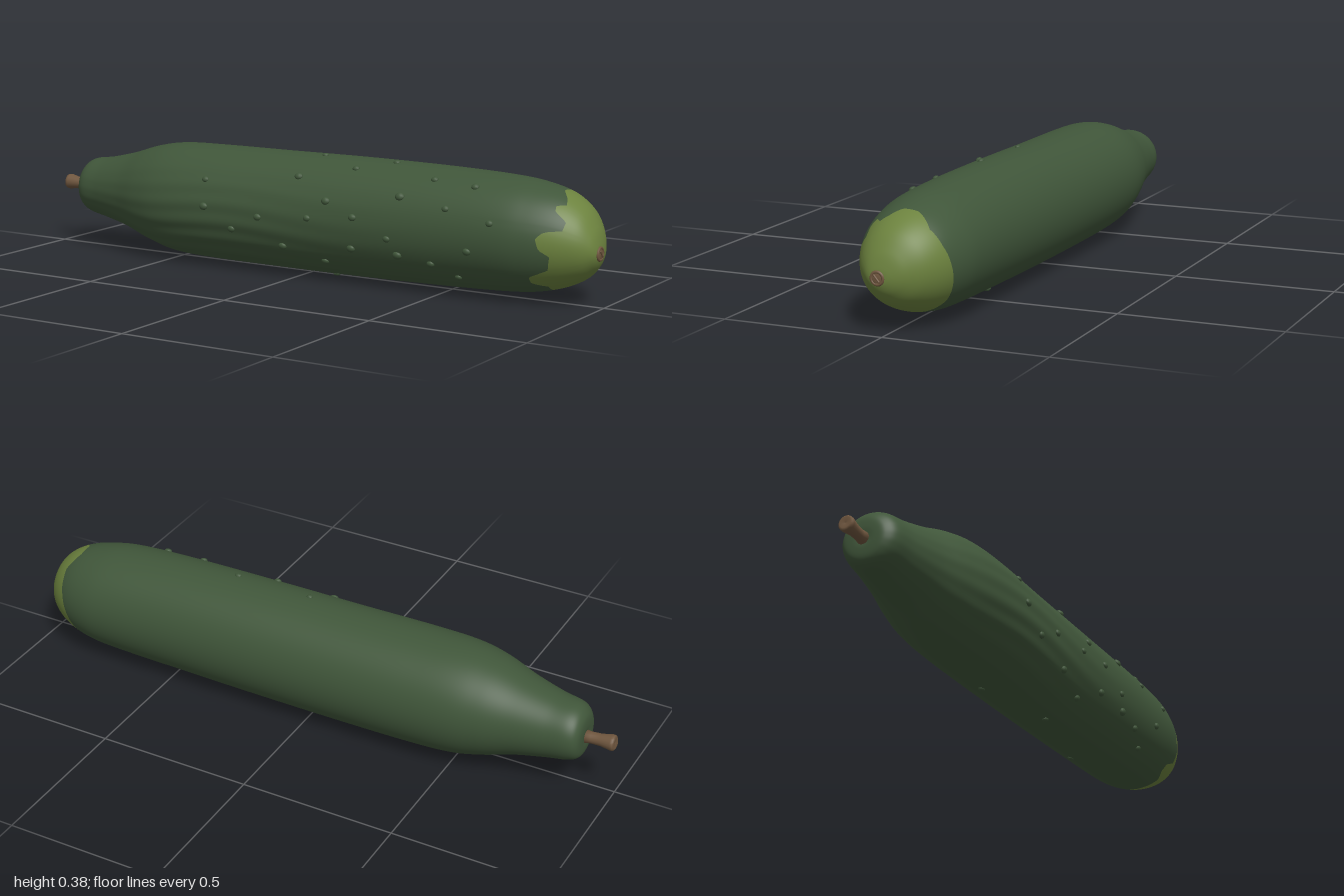
import * as THREE from 'three';

const material = (name, color) => {
  const m = new THREE.MeshStandardMaterial({ color });
  m.name = name;
  return m;
};

// Outline stations along the fruit: x, bottom, top, back, front
const STATIONS = [
  [-0.905, 0.19, 0.19, -0.028, -0.028],
  [-0.908, 0.155, 0.228, -0.066, 0.012],
  [-0.9, 0.122, 0.262, -0.098, 0.044],
  [-0.87, 0.104, 0.285, -0.115, 0.07],
  [-0.8, 0.09, 0.296, -0.125, 0.085],
  [-0.7, 0.067, 0.32, -0.145, 0.112],
  [-0.6, 0.034, 0.351, -0.17, 0.147],
  [-0.5, 0.012, 0.368, -0.186, 0.168],
  [-0.35, 0.004, 0.372, -0.191, 0.175],
  [-0.1, 0.002, 0.373, -0.19, 0.171],
  [0.2, 0.003, 0.375, -0.187, 0.167],
  [0.5, 0.008, 0.372, -0.184, 0.166],
  [0.7, 0.015, 0.364, -0.183, 0.163],
  [0.8, 0.025, 0.351, -0.176, 0.15],
  [0.88, 0.046, 0.328, -0.153, 0.126],
  [0.94, 0.076, 0.288, -0.113, 0.096],
  [0.975, 0.11, 0.237, -0.064, 0.066],
  [0.99, 0.138, 0.192, -0.022, 0.042],
  [0.993, 0.16, 0.16, 0.015, 0.015],
];
const sideCurve = new THREE.CatmullRomCurve3(
  STATIONS.map((s) => new THREE.Vector3(s[0], s[1], s[2])), false, 'catmullrom', 0.5);
const topCurve = new THREE.CatmullRomCurve3(
  STATIONS.map((s) => new THREE.Vector3(s[0], s[3], s[4])), false, 'catmullrom', 0.5);

// Point on the skin; angle 0 is the front, 90 degrees the top
function skinPoint(t, a) {
  const s = sideCurve.getPoint(t), p = topCurve.getPoint(t);
  const onFront = Math.max(0, Math.cos(a + 0.35)) ** 2;
  const alongBody = Math.exp(-(((s.x + 0.3) / 0.42) ** 2));
  const r = 1 + 0.009 * onFront * alongBody * Math.sin(a * 19 + 1.5 * Math.sin(s.x * 7));
  return new THREE.Vector3(
    s.x,
    (s.y + s.z) / 2 + r * (s.z - s.y) / 2 * Math.sin(a),
    (p.y + p.z) / 2 + r * (p.z - p.y) / 2 * Math.cos(a));
}

// Curve parameter for a given x along the body
function paramAt(x) {
  let lo = 0.1, hi = 0.99;
  for (let i = 0; i < 30; i++) {
    const mid = (lo + hi) / 2;
    if (sideCurve.getPoint(mid).x < x) lo = mid; else hi = mid;
  }
  return lo;
}

// Ragged border of the pale end: angle in degrees, x
const BORDER = [
  [-90, 0.84], [-60, 0.85], [-48, 0.81], [-38, 0.81], [-30, 0.87], [-12, 0.88],
  [-4, 0.85], [8, 0.84], [16, 0.86], [22, 0.91], [36, 0.915], [44, 0.88],
  [52, 0.875], [60, 0.9], [72, 0.89], [86, 0.865], [105, 0.865],
  [130, 0.895], [155, 0.89], [180, 0.875], [225, 0.84], [270, 0.84],
];
function borderX(deg) {
  const d = ((deg + 90) % 360 + 360) % 360 - 90;
  const i = Math.max(1, BORDER.findIndex((b) => b[0] >= d));
  const [a0, x0] = BORDER[i - 1], [a1, x1] = BORDER[i];
  return THREE.MathUtils.lerp(x0, x1, (d - a0) / (a1 - a0));
}

// One closed surface whose grid follows the colour border
function bodyGeometry() {
  const AROUND = 144, SKIN = 110, TIP = 28, ROWS = SKIN + TIP;
  const pos = [], index = [];
  const borders = Array.from({ length: AROUND }, (_, j) => paramAt(borderX(j * 360 / AROUND)));
  for (let i = 0; i <= ROWS; i++) {
    for (let j = 0; j < AROUND; j++) {
      const b = borders[j];
      const t = i <= SKIN ? b * i / SKIN : b + (1 - b) * (i - SKIN) / TIP;
      pos.push(...skinPoint(t, j / AROUND * Math.PI * 2).toArray());
    }
  }
  for (let i = 0; i < ROWS; i++) {
    for (let j = 0; j < AROUND; j++) {
      const k = (j + 1) % AROUND;
      const a = i * AROUND + j, b = a + AROUND, c = (i + 1) * AROUND + k, d = i * AROUND + k;
      index.push(a, b, c, a, c, d);
    }
  }
  const g = new THREE.BufferGeometry();
  g.setAttribute('position', new THREE.Float32BufferAttribute(pos, 3));
  g.setIndex(index);
  g.addGroup(0, SKIN * AROUND * 6, 0);
  g.addGroup(SKIN * AROUND * 6, TIP * AROUND * 6, 1);
  g.computeVertexNormals();
  return g;
}

// Warts: x, angle in degrees, radius
const WARTS = [
  [0.02, 45, 0.012], [0.14, 22, 0.012], [0.39, 34, 0.013], [0.24, 9, 0.011],
  [-0.3, 5, 0.012], [0.55, 27, 0.01], [0.39, -24, 0.013], [0.5, -30, 0.011],
  [0.23, -22, 0.012], [-0.2, -15, 0.011], [0.7, 18, 0.01], [0.08, 4, 0.01],
  [0.63, -12, 0.011], [-0.02, -28, 0.012], [0.36, -8, 0.01], [0.12, -42, 0.011],
  [-0.31, 32, 0.01], [0.2, 62, 0.01], [0.48, 58, 0.01], [0.62, 55, 0.011],
  [0.31, 82, 0.01], [0.05, 84, 0.009], [-0.1, 0, 0.011], [0.58, -45, 0.01],
  [0.1, -80, 0.01], [-0.2, -100, 0.01], [0.45, -110, 0.01],
];

export function createModel() {
  const skin = material('dark green skin', 0x40563a);
  const pale = material('pale green end', 0x6c823e);
  const brown = material('brown stem', 0x70573f);
  const model = new THREE.Group();
  model.name = 'cucumber';
  const add = (name, geometry, mat) => {
    const mesh = new THREE.Mesh(geometry, mat);
    mesh.name = name;
    model.add(mesh);
    return mesh;
  };

  add('body', bodyGeometry(), [skin, pale]);

  // Warts flattened against the skin
  const wart = new THREE.SphereGeometry(1, 12, 8);
  for (const [x, deg, r] of WARTS) {
    const a = THREE.MathUtils.degToRad(deg);
    const m = add('wart', wart, skin);
    m.position.copy(skinPoint(paramAt(x), a));
    m.rotation.x = -a;
    m.scale.set(r * 1.2, r, r * 0.75);
  }

  // Stem, flared at the cut, running along -x
  const stemProfile = [[0, 0], [0.022, 0], [0.018, 0.03], [0.019, 0.06], [0.025, 0.094], [0.024, 0.102], [0.018, 0.106], [0, 0.102]]
    .map(([r, y]) => new THREE.Vector2(r, y));
  const stem = add('stem', new THREE.LatheGeometry(stemProfile, 20), brown);
  stem.position.set(-0.895, 0.189, -0.029);
  stem.rotation.z = Math.PI / 2 - 0.06;

  // Dry blossom scar: a low disc with a raised rim and a crease
  const scar = new THREE.Group();
  scar.name = 'blossomScar';
  scar.position.set(0.991, 0.161, 0.016);
  scar.rotation.y = Math.PI / 2;
  const disc = new THREE.Mesh(new THREE.SphereGeometry(0.02, 20, 10), brown);
  const rim = new THREE.Mesh(new THREE.TorusGeometry(0.018, 0.005, 8, 24), brown);
  const crease = new THREE.Mesh(new THREE.CapsuleGeometry(0.003, 0.024, 4, 8), brown);
  disc.name = 'scarDisc';
  rim.name = 'scarRim';
  crease.name = 'scarCrease';
  disc.scale.z = 0.25;
  crease.position.z = 0.005;
  crease.rotation.z = 0.7;
  scar.add(disc, rim, crease);
  model.add(scar);

  return model;
}
